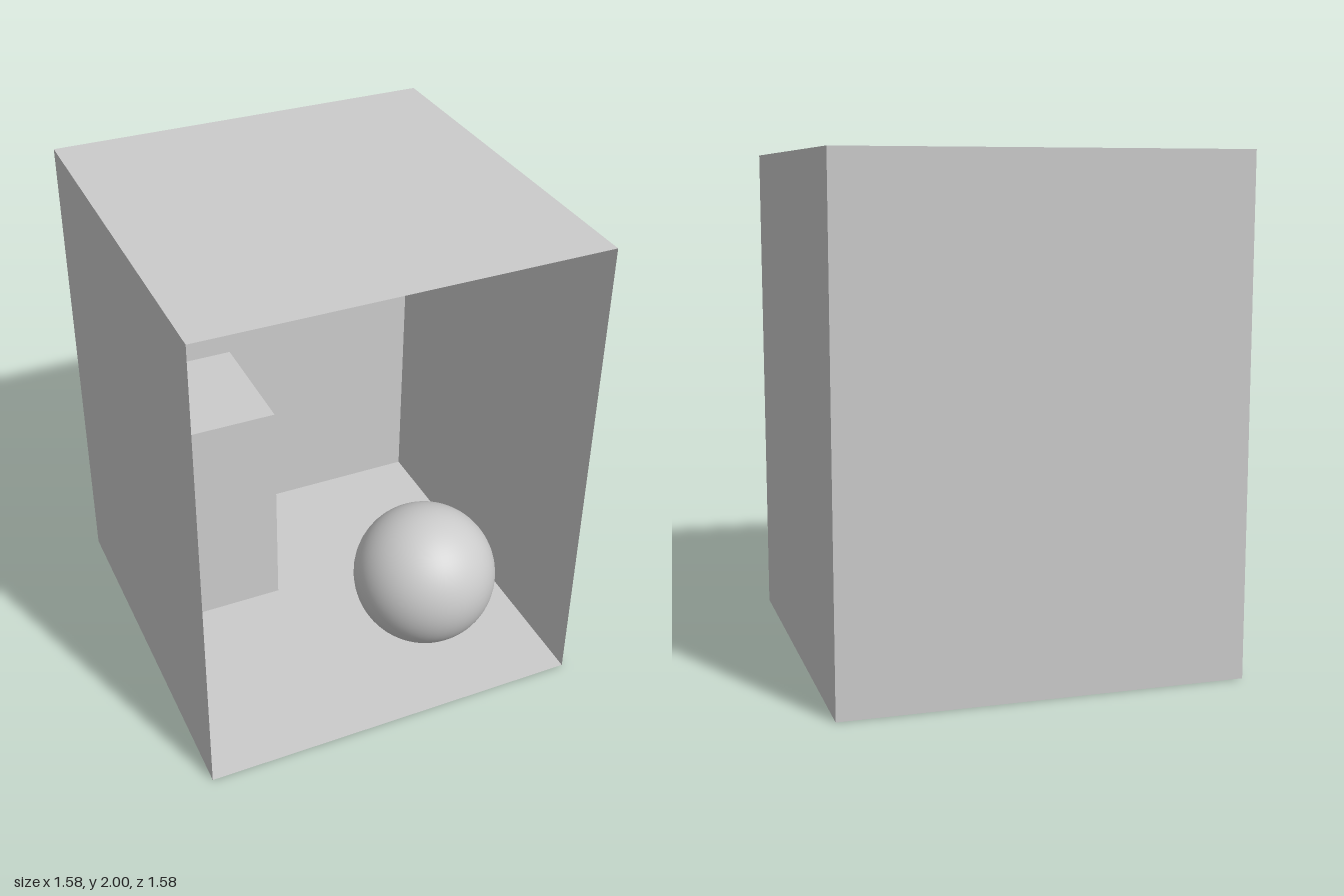
import * as THREE from 'three';

const WIDTH = 1.58, HEIGHT = 2, HALF = WIDTH / 2;

export function createModel() {
  const group = new THREE.Group();
  const solid = new THREE.MeshStandardMaterial({ color: 0xcccccc });
  const thin = new THREE.MeshStandardMaterial({ color: 0xcccccc, side: THREE.DoubleSide });

  const add = (name, geometry, material, position, rotation = [0, 0, 0]) => {
    const mesh = new THREE.Mesh(geometry, material);
    mesh.name = name;
    mesh.position.set(...position);
    mesh.rotation.set(...rotation);
    group.add(mesh);
  };

  // Paper-thin room, open at the front
  const wall = new THREE.PlaneGeometry(WIDTH, HEIGHT);
  const slab = new THREE.PlaneGeometry(WIDTH, WIDTH);
  const quarter = Math.PI / 2;
  add('floor', slab, thin, [0, 0, 0], [-quarter, 0, 0]);
  add('ceiling', slab, thin, [0, HEIGHT, 0], [quarter, 0, 0]);
  add('backWall', wall, thin, [0, HEIGHT / 2, -HALF]);
  for (const [name, side] of [['leftWall', 1], ['rightWall', -1]]) {
    add(name, wall, thin, [side * HALF, HEIGHT / 2, 0], [0, -side * quarter, 0]);
  }

  // Tall block standing at the back
  add('tallBlock', new THREE.BoxGeometry(0.53, 0.97, 0.53), solid, [-0.405, 0.485, -0.395]);

  // Ball resting on the floor near the front
  add('ball', new THREE.SphereGeometry(0.302, 48, 32), solid, [0.352, 0.308, 0.33]);

  return group;
}
